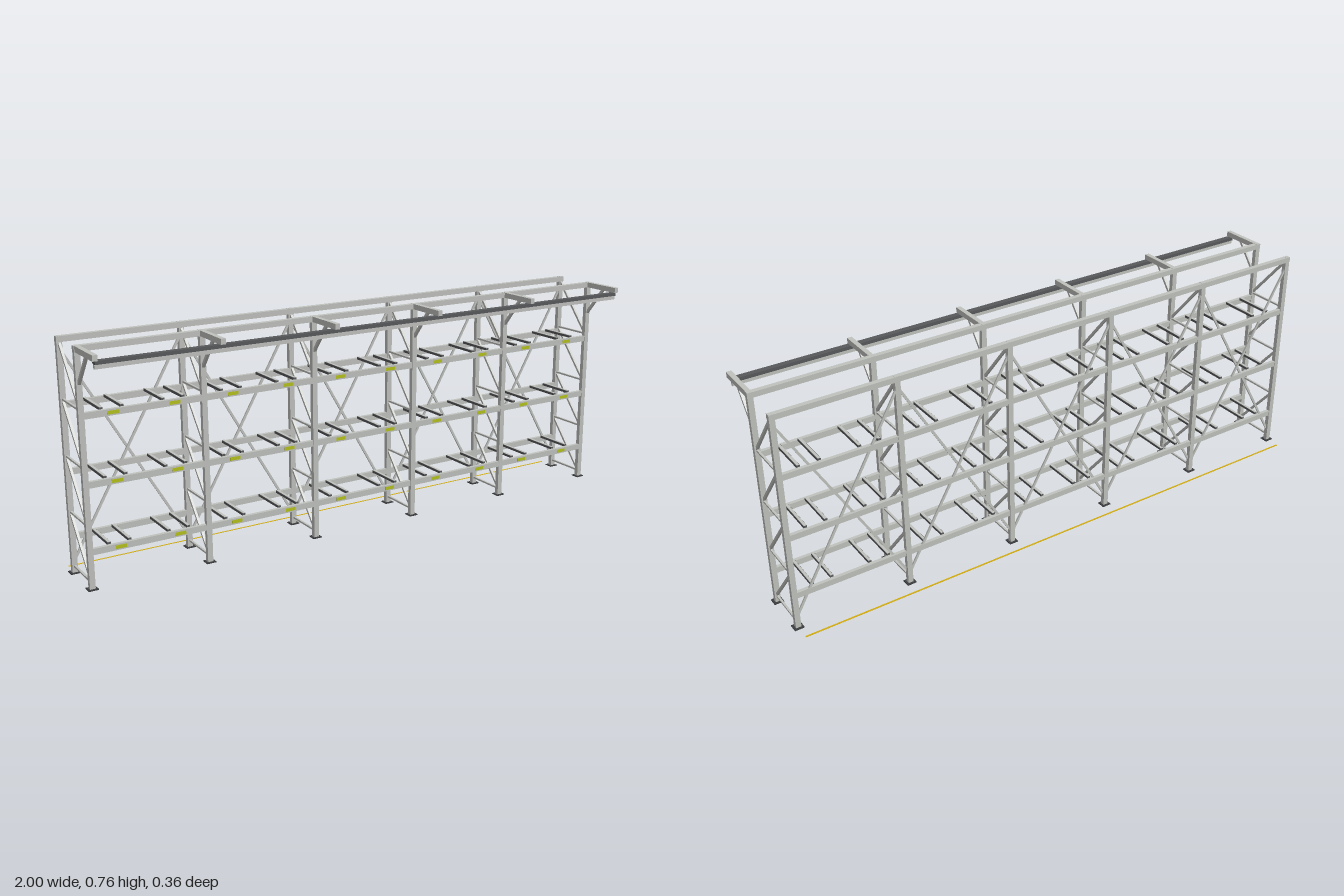
import * as THREE from 'three';

const material = (name, color) => {
  const m = new THREE.MeshStandardMaterial({ color });
  m.name = name;
  return m;
};

export function createModel() {
  const steel = material('galvanised steel', 0xc0c2be);
  const dark = material('dark steel', 0x58595b);
  const plate = material('base plate grey', 0x3c3d3f);
  const lime = material('label lime', 0xb4c21a);
  const yellow = material('stripe yellow', 0xd2ac10);

  const model = new THREE.Group();
  model.name = 'storageRack';

  const box = (parent, name, mat, size, pos) => {
    const mesh = new THREE.Mesh(new THREE.BoxGeometry(...size), mat);
    mesh.name = name;
    mesh.position.set(...pos);
    parent.add(mesh);
    return mesh;
  };

  // Bar running between two points of its parent
  const up = new THREE.Vector3(0, 1, 0);
  const bar = (parent, name, mat, a, b, w, d = w) => {
    const from = new THREE.Vector3(...a), to = new THREE.Vector3(...b);
    const mid = from.clone().add(to).multiplyScalar(0.5);
    const mesh = box(parent, name, mat, [w, d, from.distanceTo(to)], mid.toArray());
    mesh.quaternion.setFromRotationMatrix(new THREE.Matrix4().lookAt(to, from, up));
  };

  const BAYS = 5, HALF = 0.984, PITCH = (2 * HALF) / BAYS;
  const TOP = 0.758, FRONT = 0.031, REAR = -0.121;
  const INNER_F = 0.025, INNER_R = -0.114;
  const LEVELS = [0.121, 0.333, 0.546];

  // Upright frames: posts, feet, lattice and top arm
  for (let i = 0; i <= BAYS; i++) {
    const frame = new THREE.Group();
    frame.name = 'uprightFrame';
    frame.position.x = -HALF + i * PITCH;
    model.add(frame);

    for (const z of [FRONT, REAR]) {
      box(frame, 'post', steel, [0.018, TOP - 0.002, 0.015], [0, TOP / 2 + 0.001, z]);
      box(frame, 'basePlate', plate, [0.032, 0.003, 0.03], [0, 0.0015, z]);
    }
    for (let k = 0; k < 4; k++) {
      const y = 0.024 + k * 0.18;
      bar(frame, 'latticeTie', steel, [0, y, INNER_F], [0, y, INNER_R], 0.007, 0.006);
      bar(frame, 'latticeDiagonal', steel,
        [0, y + 0.007, INNER_F], [0, y + 0.172, INNER_R], 0.008);
    }
    box(frame, 'topArm', steel, [0.016, 0.018, 0.158], [0, TOP - 0.009, 0.102]);
    bar(frame, 'armBrace', steel, [0, 0.645, 0.036], [0, 0.742, 0.114], 0.009);
  }

  // Long beams across the whole rack
  for (const z of [FRONT, REAR]) {
    box(model, 'topBeam', steel, [2 * HALF + 0.019, 0.018, 0.017], [0, TOP - 0.0095, z]);
    for (const y of LEVELS)
      box(model, 'shelfBeam', steel, [2 * HALF, 0.02, 0.0125], [0, y, z]);
  }

  // Bays: rear cross bracing, pallet supports and place labels
  for (let i = 0; i < BAYS; i++) {
    const bay = new THREE.Group();
    bay.name = 'bay';
    bay.position.x = -HALF + (i + 0.5) * PITCH;
    model.add(bay);

    for (const s of [-1, 1])
      bar(bay, 'crossBrace', steel,
        [-s * PITCH / 2, 0.04, REAR + s * 0.003],
        [s * PITCH / 2, 0.722, REAR + s * 0.003], 0.005, 0.008);

    for (const y of LEVELS) {
      for (const place of [-1, 1]) {
        const x = place * PITCH / 4;
        for (const s of [-1, 1]) {
          const sx = x + s * 0.033;
          box(bay, 'palletSupport', dark, [0.011, 0.008, 0.136], [sx, y + 0.0115, -0.045]);
          box(bay, 'supportCap', steel, [0.009, 0.001, 0.136], [sx, y + 0.016, -0.045]);
        }
        box(bay, 'placeLabel', lime, [0.036, 0.011, 0.001], [x, y, FRONT + 0.0067]);
      }
    }
  }

  // Overhead rail hung below the arms
  box(model, 'overheadRail', dark, [2 * HALF, 0.011, 0.02], [0, 0.7345, 0.168]);
  box(model, 'railStrip', steel, [2 * HALF, 0.014, 0.009], [0, 0.722, 0.168]);

  // Floor stripe behind the rack
  box(model, 'floorStripe', yellow, [2 * HALF, 0.0004, 0.007], [0, 0.0002, -0.1775]);

  return model;
}
